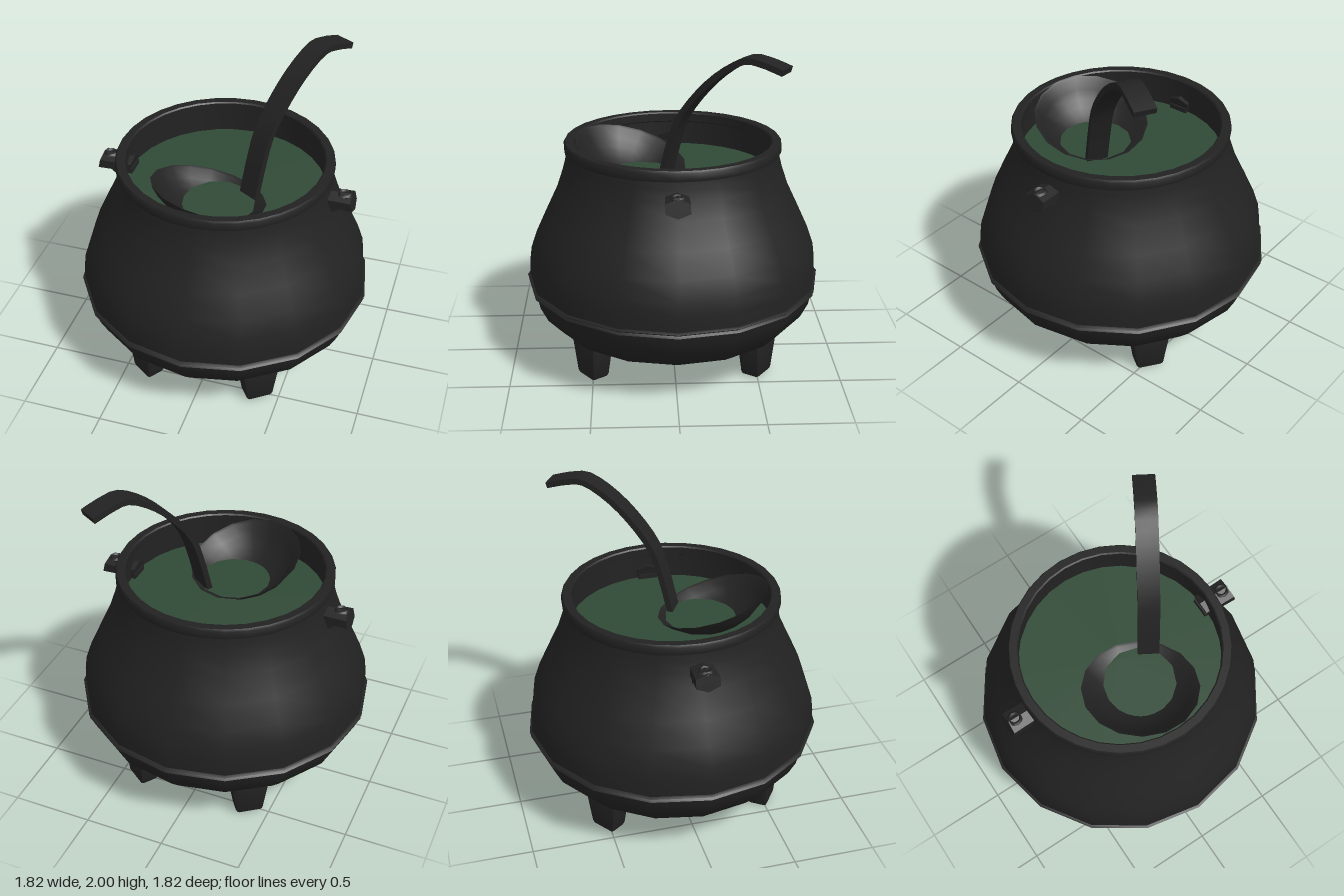
import * as THREE from 'three';
import { toCreasedNormals } from 'three/addons/utils/BufferGeometryUtils.js';
import { RoundedBoxGeometry } from 'three/addons/geometries/RoundedBoxGeometry.js';

const iron = new THREE.MeshStandardMaterial({ color: 0x222222, side: THREE.DoubleSide });
const brew = new THREE.MeshStandardMaterial({ color: 0x304a36, side: THREE.DoubleSide });

function part(name, geometry, material = iron) {
  const mesh = new THREE.Mesh(toCreasedNormals(geometry, 0.65), material);
  mesh.name = name;
  return mesh;
}

function lathe(points, sides) {
  return new THREE.LatheGeometry(points.map(([r, y]) => new THREE.Vector2(r, y)), sides);
}

// Tapered foot: a chamfered block whose plan shrinks towards the ground
function footGeometry() {
  const g = new RoundedBoxGeometry(0.25, 0.3, 0.16, 1, 0.025);
  const p = g.attributes.position;
  for (let i = 0; i < p.count; i++) {
    const t = THREE.MathUtils.clamp((p.getY(i) + 0.15) / 0.24, 0, 1);
    p.setX(i, p.getX(i) * THREE.MathUtils.lerp(0.66, 1, t));
    p.setZ(i, p.getZ(i) * THREE.MathUtils.lerp(0.75, 1, t));
  }
  return g.translate(0, 0.155, 0);
}

// Side lug: flared hexagonal stub, a wedge beneath it and an eye on top
function createLug(side) {
  const lug = new THREE.Group();
  lug.name = side > 0 ? 'leftLug' : 'rightLug';

  const stub = new THREE.CylinderGeometry(0.082, 0.075, 0.2, 6);
  stub.rotateY(Math.PI / 6).rotateZ(-Math.PI / 2);
  const p = stub.attributes.position;
  for (let i = 0; i < p.count; i++) {
    const y = p.getY(i), z = p.getZ(i);
    // orient the hexagon with flat top and bottom
    p.setXYZ(i, p.getX(i) - y * 0.15, y * 0.66, z);
  }
  stub.translate(0.69, 1.23, 0);
  lug.add(part('lugStub', stub));

  const wedge = new THREE.Shape([[0.58, 1.15], [0.65, 1.15], [0.71, 1.19], [0.71, 1.22], [0.58, 1.22]]
    .map(([x, y]) => new THREE.Vector2(x, y)));
  const bracket = new THREE.ExtrudeGeometry(wedge, { depth: 0.12, bevelEnabled: false });
  lug.add(part('lugBracket', bracket.translate(0, 0, -0.06)));

  const eye = new THREE.TorusGeometry(0.035, 0.012, 4, 8).rotateX(Math.PI / 2);
  lug.add(part('lugEye', eye.translate(0.735, 1.275, 0)));

  if (side < 0) lug.rotation.y = Math.PI;
  return lug;
}

// Curved strip, drawn as a thick side profile and extruded across its width
function handleGeometry() {
  const path = new THREE.SplineCurve([
    [-0.06, 1.16], [0, 1.4], [0.066, 1.59], [0.186, 1.755],
    [0.326, 1.89], [0.477, 1.98], [0.59, 1.975], [0.715, 1.94],
  ].map(([s, y]) => new THREE.Vector2(s, y)));
  const upper = [], lower = [];
  for (let i = 0; i <= 18; i++) {
    const c = path.getPoint(i / 18), t = path.getTangent(i / 18);
    const n = new THREE.Vector2(-t.y, t.x).multiplyScalar(0.018);
    upper.push(c.clone().add(n));
    lower.unshift(c.clone().sub(n));
  }
  const shape = new THREE.Shape([...upper, ...lower]);
  return new THREE.ExtrudeGeometry(shape, { depth: 0.13, bevelEnabled: false }).translate(0, 0, -0.065);
}

function createLadle() {
  const ladle = new THREE.Group();
  ladle.name = 'ladle';

  // Shallow dish: outer shell up to the lip, inner shell back down
  const R = 0.43, drop = 0.25, profile = [];
  for (let i = 0; i <= 7; i++) {
    const r = 0.35 * i / 7;
    profile.push([r, drop - Math.sqrt(R * R - r * r)]);
  }
  for (let i = 7; i >= 0; i--) {
    const r = 0.335 * i / 7;
    profile.push([r, drop + 0.012 - Math.sqrt(R * R - r * r)]);
  }
  const bowl = part('ladleBowl', lathe(profile, 16));
  bowl.rotation.order = 'YXZ';
  bowl.rotation.set(-0.31, -0.56, 0);
  bowl.position.set(-0.025, 1.31, 0.255);
  ladle.add(bowl);

  const handle = part('ladleHandle', handleGeometry());
  handle.rotation.y = 1.035;
  handle.position.set(0.195, 0, 0.01);
  ladle.add(handle);
  return ladle;
}

export function createModel() {
  const model = new THREE.Group();
  model.name = 'cauldron';

  // Round belly, with a thin grooved seam at its widest point
  model.add(part('lowerBody', lathe([
    [0, 0.155], [0.28, 0.16], [0.5, 0.17], [0.62, 0.195], [0.74, 0.255], [0.83, 0.35], [0.875, 0.44], [0.89, 0.5],
  ], 16)));
  model.add(part('seam', lathe([
    [0.87, 0.49], [0.903, 0.5], [0.89, 0.512], [0.908, 0.525], [0.892, 0.535], [0.87, 0.535],
  ], 16)));
  model.add(part('upperBody', lathe([
    [0.893, 0.53], [0.89, 0.62], [0.878, 0.71], [0.84, 0.82], [0.776, 0.96],
    [0.705, 1.11], [0.668, 1.22], [0.65, 1.29], [0.642, 1.35],
  ], 16)));

  // Rim band and the inside of the neck
  model.add(part('rim', lathe([
    [0.62, 1.34], [0.655, 1.34], [0.658, 1.35], [0.658, 1.39], [0.65, 1.403], [0.605, 1.403],
    [0.597, 1.395], [0.597, 1.345], [0.615, 1.335], [0.612, 1.15],
  ], 32)));

  const liquid = part('liquid', new THREE.CircleGeometry(0.613, 32).rotateX(-Math.PI / 2), brew);
  liquid.position.y = 1.19;
  model.add(liquid);

  // Four feet turned to face outwards
  for (const sx of [-1, 1]) {
    for (const sz of [-1, 1]) {
      const foot = part(`${sz > 0 ? 'front' : 'back'}${sx > 0 ? 'Left' : 'Right'}Foot`, footGeometry());
      foot.position.set(sx * 0.36, 0, sz * 0.5);
      foot.rotation.y = Math.atan2(sx * 0.36, sz * 0.5);
      model.add(foot);
    }
    model.add(createLug(sx));
  }

  model.add(createLadle());
  return model;
}
